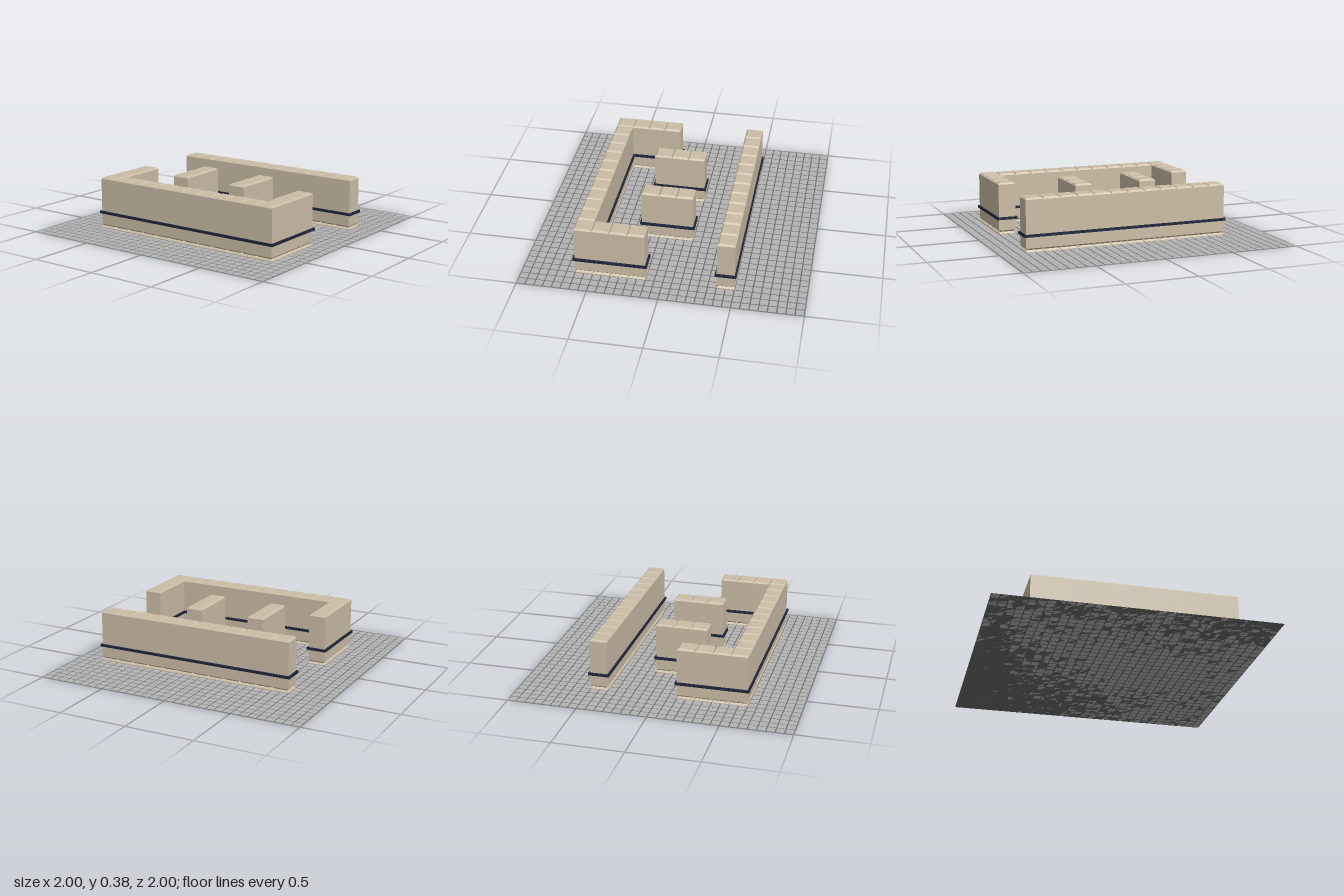
import * as THREE from 'three';
import { mergeGeometries } from 'three/addons/utils/BufferGeometryUtils.js';

const CELL = 0.125;
const BAND_OUT = 0.0125;

const mat = (color, side = THREE.FrontSide) =>
  new THREE.MeshStandardMaterial({ color, flatShading: true, side });

function add(group, name, geometry, material) {
  const mesh = new THREE.Mesh(geometry, material);
  mesh.name = name;
  group.add(mesh);
  return mesh;
}

// Square wall block: flared foot, pinched groove, straight body, bevelled cap
function blockGeometry() {
  const h = CELL / 2;
  const profile = [
    [h, 0], [h, 0.006], [h - 0.012, 0.018], [h, 0.03],
    [h, 0.368], [h - 0.012, 0.38], [0, 0.38],
  ].map(([half, y]) => new THREE.Vector2(half * Math.SQRT2, y));
  return new THREE.LatheGeometry(profile, 4).rotateY(Math.PI / 4);
}

// Gridded floor: dark sheet with thin square tiles on top
function addFloor(group) {
  const n = 32, pitch = 2 / n, size = pitch - 0.008;
  const sheet = new THREE.PlaneGeometry(2, 2).rotateX(-Math.PI / 2);
  add(group, 'floorJoints', sheet, mat(0x6a6a6a, THREE.DoubleSide));
  const tiles = [];
  for (let i = 0; i < n; i++) {
    for (let j = 0; j < n; j++) {
      tiles.push(new THREE.BoxGeometry(size, 0.002, size)
        .translate(-1 + (i + 0.5) * pitch, 0.001, -1 + (j + 0.5) * pitch));
    }
  }
  add(group, 'floorTiles', mergeGeometries(tiles), mat(0xb4b4b4));
}

export function createModel() {
  const model = new THREE.Group();
  model.name = 'walledRoom';
  addFloor(model);

  const stone = mat(0xcbbda6);
  const navy = mat(0x20263c);

  // Each run: name, minimum x, minimum z, blocks along x, blocks along z
  const runs = [
    ['backWall', -0.6875, -0.5, 12, 1],
    ['frontWall', -0.6875, 0.5, 12, 1],
    ['rightWall', -0.6875, 0.125, 1, 3],
    ['leftWall', 0.6875, 0.125, 1, 3],
    ['rightDivider', -0.3125, -0.125, 1, 3],
    ['leftDivider', 0.1875, -0.125, 1, 3],
  ];

  for (const [name, x0, z0, nx, nz] of runs) {
    const wall = new THREE.Group();
    wall.name = name;
    const blocks = [];
    for (let i = 0; i < nx; i++) {
      for (let j = 0; j < nz; j++) {
        blocks.push(blockGeometry().translate(x0 + (i + 0.5) * CELL, 0, z0 + (j + 0.5) * CELL));
      }
    }
    add(wall, 'wallBlocks', mergeGeometries(blocks), stone);

    // Trim rail projecting all round the run
    const rail = new THREE.BoxGeometry(nx * CELL + 2 * BAND_OUT, 0.018, nz * CELL + 2 * BAND_OUT);
    rail.translate(x0 + nx * CELL / 2, 0.119, z0 + nz * CELL / 2);
    add(wall, 'trimRail', rail, navy);
    model.add(wall);
  }
  return model;
}
